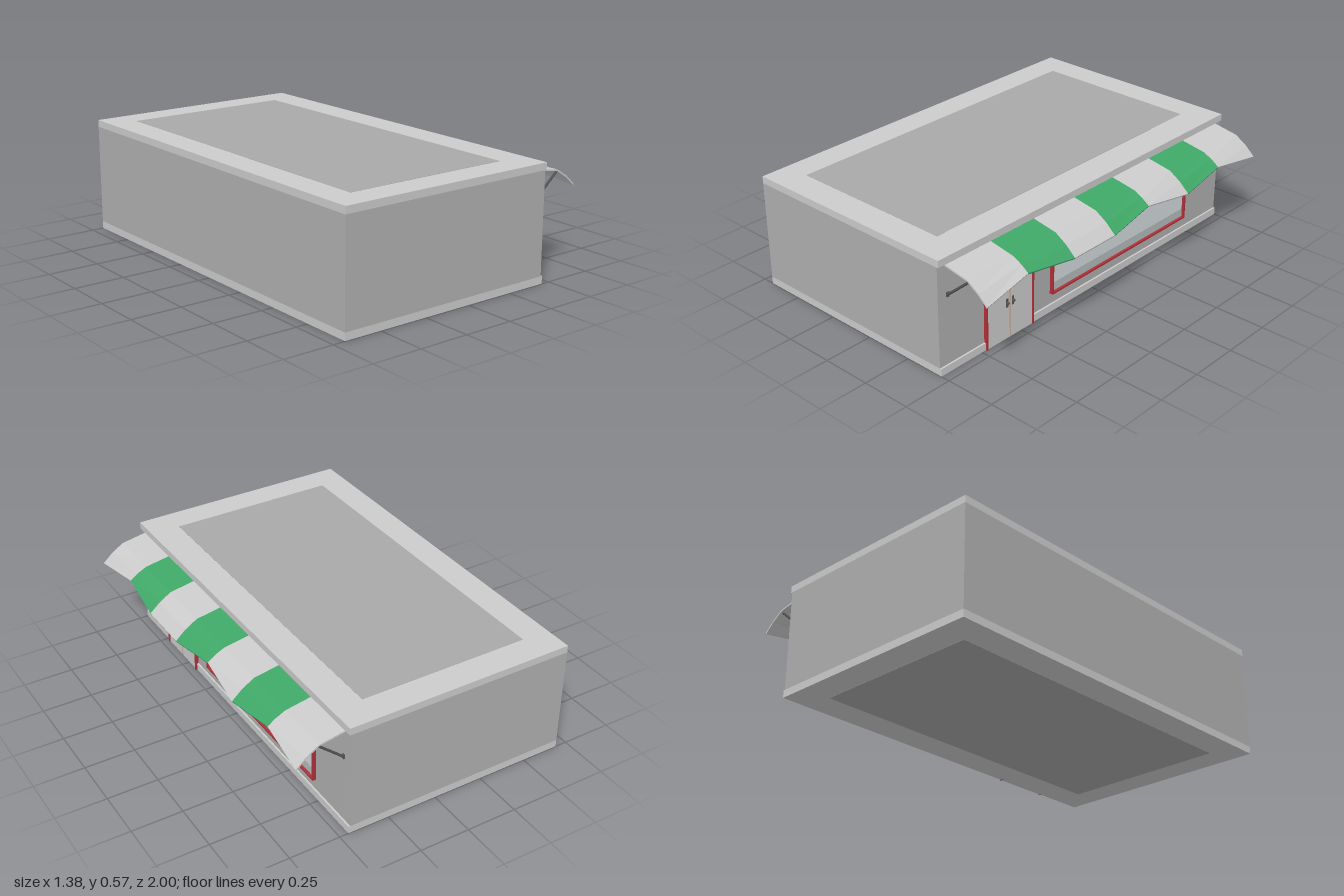
import * as THREE from 'three';

const mat = (color, side = THREE.FrontSide) => new THREE.MeshStandardMaterial({ color, side, flatShading: true });
const GREY = mat(0xcccccc), WALL = mat(0xafafaf), INSET = mat(0xa8a8a8), RED = mat(0xb03038);
const DARK = mat(0x555555), GLASS = mat(0xd2dadb), SILL = mat(0xb4babb), TAN = mat(0xc89a68);
const CLOTH = [mat(0xcccccc, THREE.DoubleSide), mat(0x40a868, THREE.DoubleSide)];

function add(parent, name, geometry, material) {
  const m = new THREE.Mesh(geometry, material);
  m.name = name;
  parent.add(m);
  return m;
}

// Box given by its limits on each axis
function box(parent, name, material, x0, x1, y0, y1, z0, z1) {
  const m = add(parent, name, new THREE.BoxGeometry(x1 - x0, y1 - y0, z1 - z0), material);
  m.position.set((x0 + x1) / 2, (y0 + y1) / 2, (z0 + z1) / 2);
  return m;
}

// Round bar between two points
function bar(parent, name, material, a, b, r, sides = 8) {
  const d = b.clone().sub(a);
  const m = add(parent, name, new THREE.CylinderGeometry(r, r, d.length(), sides), material);
  m.position.copy(a).addScaledVector(d, 0.5);
  m.quaternion.setFromUnitVectors(new THREE.Vector3(0, 1, 0), d.normalize());
  return m;
}

// Upright frame in the facade plane, optionally open at the bottom
function frame(parent, name, y0, y1, z0, z1, w, bottom) {
  const s = new THREE.Group();
  s.name = name;
  parent.add(s);
  box(s, 'frameSide', RED, 0.445, 0.465, y0, y1, z0, z0 + w);
  box(s, 'frameSide', RED, 0.445, 0.465, y0, y1, z1 - w, z1);
  box(s, 'frameTop', RED, 0.445, 0.465, y1 - w, y1, z0 + w, z1 - w);
  if (bottom) box(s, 'frameBottom', RED, 0.445, 0.465, y0, y0 + w, z0 + w, z1 - w);
}

// One awning stripe: a solid sheet swept between two profiles
function stripe(z0, z1, tip0, tip1) {
  const profile = ([x, y]) => {
    const top = [[0.447, 0.531], [0.578, 0.508], [0.578 + (x - 0.578) * 0.55, 0.508 + (y - 0.508) * 0.46], [x, y]];
    return [...top, ...top.map(([px, py]) => [px - 0.003, py - 0.007]).reverse()];
  };
  const a = profile(tip0), b = profile(tip1), n = a.length, pos = [];
  const tri = (...pts) => pts.forEach((p) => pos.push(...p));
  for (let i = 0; i < n; i++) {
    const j = (i + 1) % n;
    const A = [...a[i], z0], B = [...a[j], z0], C = [...b[j], z1], D = [...b[i], z1];
    tri(A, D, C, A, C, B);
  }
  // end caps between the upper and lower sheet
  for (let i = 0; i < n / 2 - 1; i++) {
    const k = n - 1 - i;
    for (const [p, z] of [[a, z0], [b, z1]]) {
      const q = [i, i + 1, k - 1, k].map((t) => [...p[t], z]);
      if (z === z0) tri(q[0], q[1], q[2], q[0], q[2], q[3]);
      else tri(q[2], q[1], q[0], q[3], q[2], q[0]);
    }
  }
  const g = new THREE.BufferGeometry();
  g.setAttribute('position', new THREE.Float32BufferAttribute(pos, 3));
  g.computeVertexNormals();
  return g;
}

export function createModel() {
  const model = new THREE.Group();
  model.name = 'shop';

  // Building shell: plinth, walls, roof slab and their inset panels
  box(model, 'plinth', GREY, -0.69, 0.456, 0, 0.037, -1, 1);
  box(model, 'walls', WALL, -0.69, 0.447, 0.037, 0.535, -1, 1);
  box(model, 'roofSlab', GREY, -0.69, 0.456, 0.535, 0.57, -1, 1);
  box(model, 'roofPanel', INSET, -0.55, 0.305, 0.565, 0.571, -0.857, 0.857);
  box(model, 'floorPanel', INSET, -0.55, 0.305, -0.001, 0.005, -0.857, 0.857);

  // Double door with frame, centre seam and handles
  const door = new THREE.Group();
  door.name = 'door';
  model.add(door);
  frame(door, 'doorFrame', 0, 0.367, 0.42, 0.727, 0.008, false);
  box(door, 'doorLeafRight', GREY, 0.44, 0.459, 0, 0.359, 0.428, 0.5715);
  box(door, 'doorLeafLeft', GREY, 0.44, 0.459, 0, 0.359, 0.5755, 0.719);
  box(door, 'doorSeam', TAN, 0.44, 0.46, 0, 0.359, 0.5715, 0.5755);
  for (const z of [0.555, 0.592]) {
    box(door, 'handlePlate', DARK, 0.455, 0.462, 0.162, 0.206, z - 0.006, z + 0.006);
    const knob = add(door, 'handleKnob', new THREE.SphereGeometry(0.008, 10, 8), DARK);
    knob.position.set(0.465, 0.184, z);
  }

  // Shop window with frame, pane and inner sill
  const shopWindow = new THREE.Group();
  shopWindow.name = 'window';
  model.add(shopWindow);
  frame(shopWindow, 'windowFrame', 0.093, 0.368, -0.717, 0.293, 0.009, true);
  box(shopWindow, 'pane', GLASS, 0.44, 0.451, 0.145, 0.359, -0.708, 0.284);
  box(shopWindow, 'sill', SILL, 0.44, 0.452, 0.102, 0.145, -0.708, 0.284);

  // Striped awning with a wavy front edge
  const awning = new THREE.Group();
  awning.name = 'awning';
  model.add(awning);
  const low = [0.69, 0.424], high = [0.666, 0.457];
  const tips = [low, high, low, high, low, low, high, low];
  const width = 1.912 / 7;
  for (let i = 0; i < 7; i++) {
    const z = -0.957 + i * width;
    add(awning, i % 2 ? 'greenStripe' : 'plainStripe', stripe(z, z + width, tips[i], tips[i + 1]), CLOTH[i % 2]);
  }

  // Diagonal struts with wall brackets
  for (const z of [-0.942, -0.358, 0.36, 0.944]) {
    bar(awning, 'strut', DARK, new THREE.Vector3(0.447, 0.38, z), new THREE.Vector3(0.582, 0.498, z), 0.006);
    box(awning, 'strutBracket', DARK, 0.445, 0.453, 0.373, 0.395, z - 0.007, z + 0.007);
  }
  return model;
}
